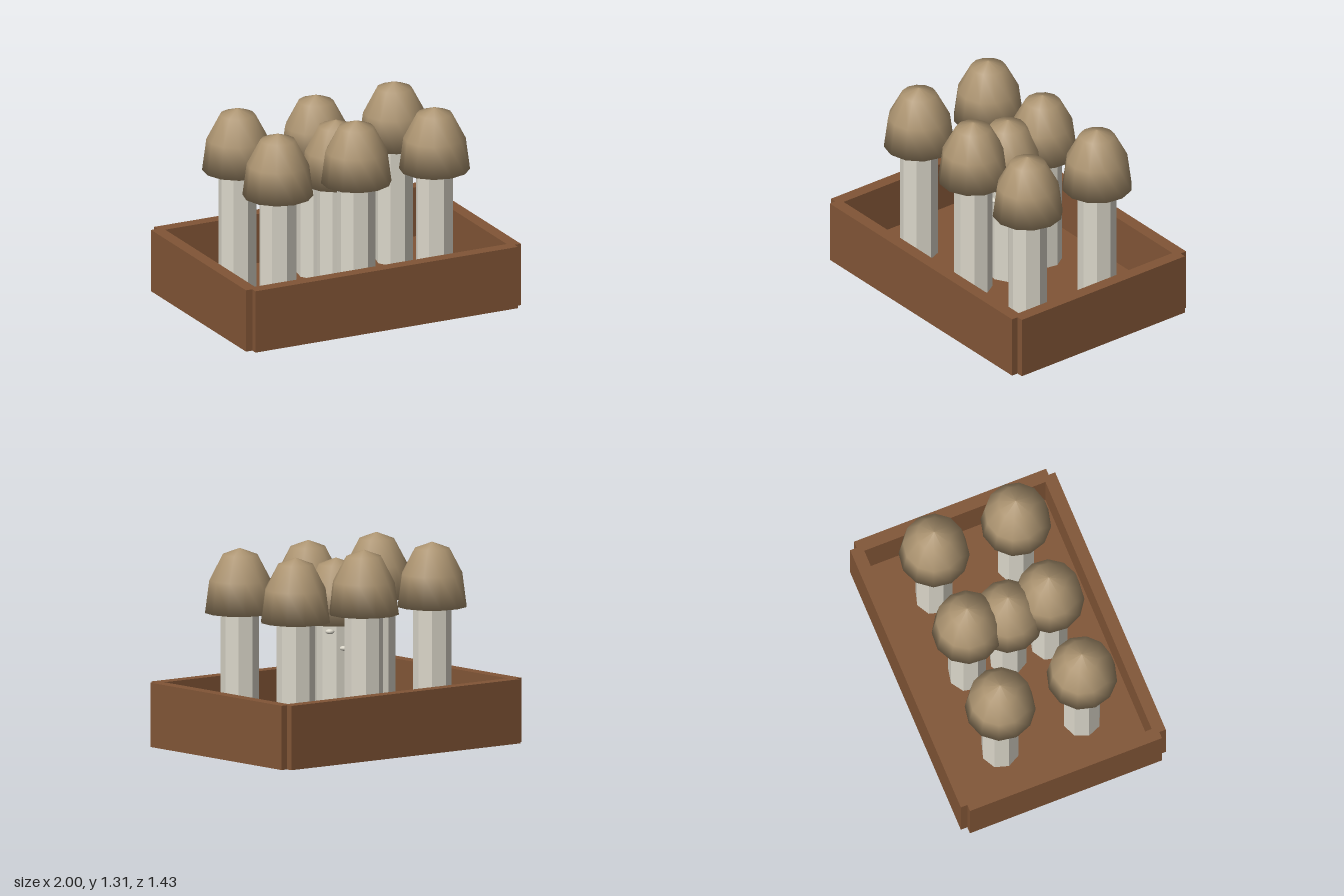
import * as THREE from 'three';

export function createModel() {
  const model = new THREE.Group();
  const wood = new THREE.MeshStandardMaterial({ color: 0x815536 });
  wood.name = 'brown wood';
  const tan = new THREE.MeshStandardMaterial({ color: 0xab9370 });
  tan.name = 'tan cap';
  const cream = new THREE.MeshStandardMaterial({ color: 0xdad6c9 });
  cream.name = 'cream stem';

  const add = (parent, name, geometry, material, x, y, z) => {
    const mesh = new THREE.Mesh(geometry, material);
    mesh.name = name;
    mesh.position.set(x, y, z);
    parent.add(mesh);
    return mesh;
  };

  // Open planter with notched corners: floor and four overlapping walls
  const planter = new THREE.Group();
  planter.name = 'planterBox';
  model.add(planter);
  const H = 0.42, floorTop = 0.085;
  add(planter, 'floor', new THREE.BoxGeometry(1.88, floorTop, 1.3), wood, 0, floorTop / 2, 0);
  const longWall = new THREE.BoxGeometry(1.91, H, 0.083);
  const shortWall = new THREE.BoxGeometry(0.083, H, 1.34);
  for (const s of [1, -1]) {
    add(planter, s > 0 ? 'frontWall' : 'backWall', longWall, wood, 0, H / 2, s * 0.6735);
    add(planter, s > 0 ? 'leftWall' : 'rightWall', shortWall, wood, s * 0.9585, H / 2, 0);
  }

  // Eight-sided stem, non-indexed so each side is flat
  const stemGeo = new THREE.CylinderGeometry(0.125, 0.125, 0.83, 8).toNonIndexed();
  stemGeo.computeVertexNormals();

  // Smooth bell cap with a flat underside, profile from bottom centre to tip
  const capGeo = new THREE.LatheGeometry(
    [[0, 0], [0.23, 0], [0.202, 0.212], [0.115, 0.377], [0, 0.42]]
      .map(([r, y]) => new THREE.Vector2(r, y)), 12);

  const mushroom = (name, x, y, z, turn) => {
    const g = new THREE.Group();
    g.name = name;
    g.position.set(x, y, z);
    g.rotation.y = turn;
    add(g, 'stem', stemGeo, cream, 0, 0.415, 0);
    add(g, 'cap', capGeo, tan, 0, 0.802, 0);
    model.add(g);
  };

  // Two rows of three, and a lower one in the middle
  let n = 0;
  for (const z of [0.285, -0.285]) {
    for (const x of [-0.57, 0, 0.57]) {
      mushroom('mushroom' + (++n), x, floorTop - 0.001, z, [0, 0.17, 0.03, 0.1, 0.2, 0.12][n - 1]);
    }
  }
  mushroom('middleMushroom', 0, 0.001, 0, 0.12);

  // Small flattened buds on the middle stem
  const budGeo = new THREE.SphereGeometry(0.03, 8, 6).scale(1, 0.55, 1);
  for (const [x, y, z] of [[0.105, 0.755, -0.066], [0.03, 0.645, -0.118], [0.01, 0.672, 0.122]]) {
    add(model, 'bud', budGeo, cream, x, y, z);
  }
  return model;
}
